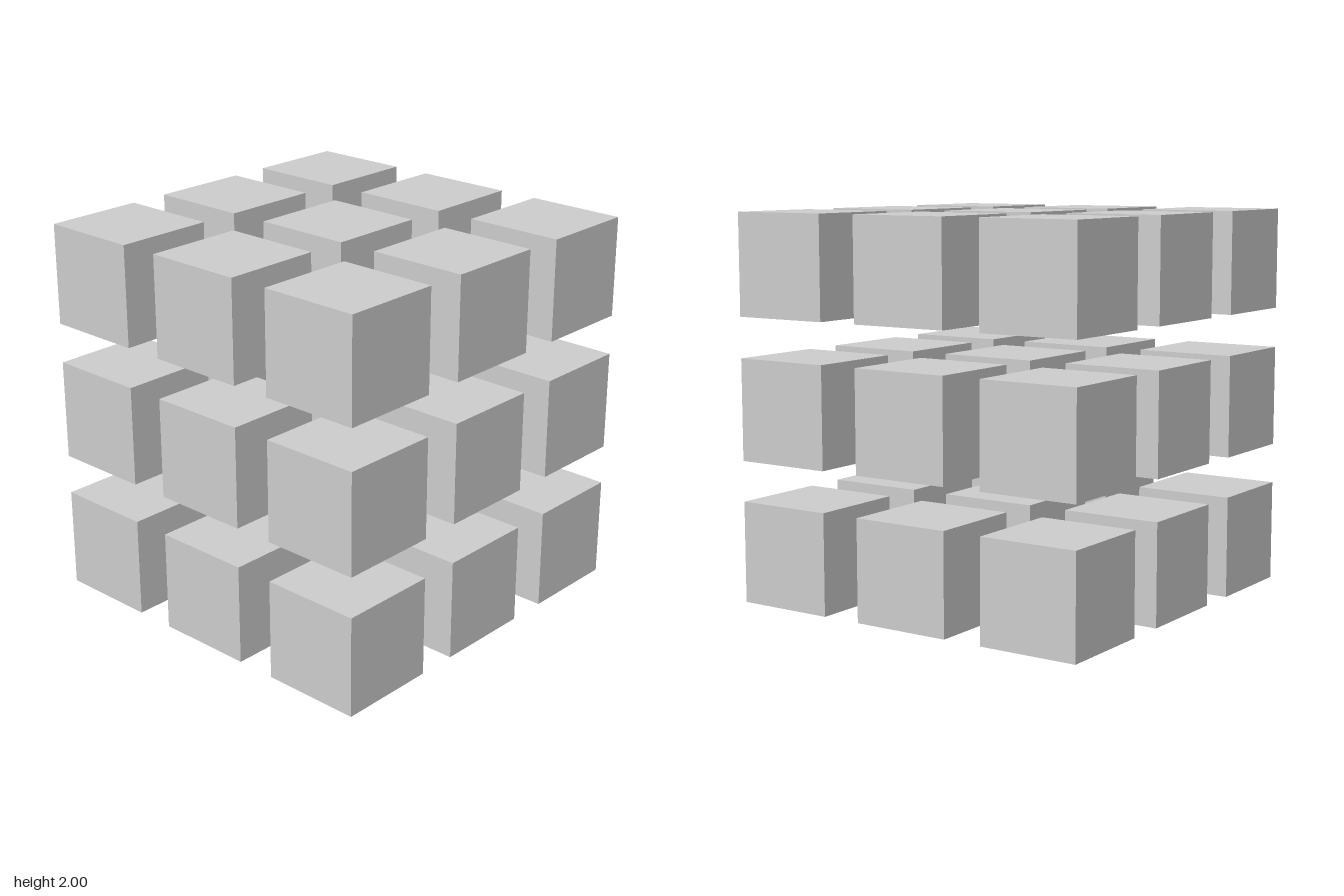
import * as THREE from 'three';

// A 3 x 3 x 3 lattice of equal cubes, with gaps of 0.4 of a cube's side
export function createModel() {
  const group = new THREE.Group();
  group.name = 'cubeGrid';

  const size = 2 / 3.8;
  const pitch = size * 1.4;
  const geometry = new THREE.BoxGeometry(size, size, size);
  const material = new THREE.MeshStandardMaterial({ color: 0xcccccc, flatShading: true });

  const layerNames = ['bottomLayer', 'middleLayer', 'topLayer'];
  const columnNames = ['Right', 'Centre', 'Left'];
  const rowNames = ['back', 'middle', 'front'];

  layerNames.forEach((layerName, j) => {
    const layer = new THREE.Group();
    layer.name = layerName;
    layer.position.y = size / 2 + j * pitch;
    rowNames.forEach((rowName, k) => {
      columnNames.forEach((columnName, i) => {
        const cube = new THREE.Mesh(geometry, material);
        cube.name = `${rowName}${columnName}Cube`;
        cube.position.set((i - 1) * pitch, 0, (k - 1) * pitch);
        layer.add(cube);
      });
    });
    group.add(layer);
  });

  return group;
}
